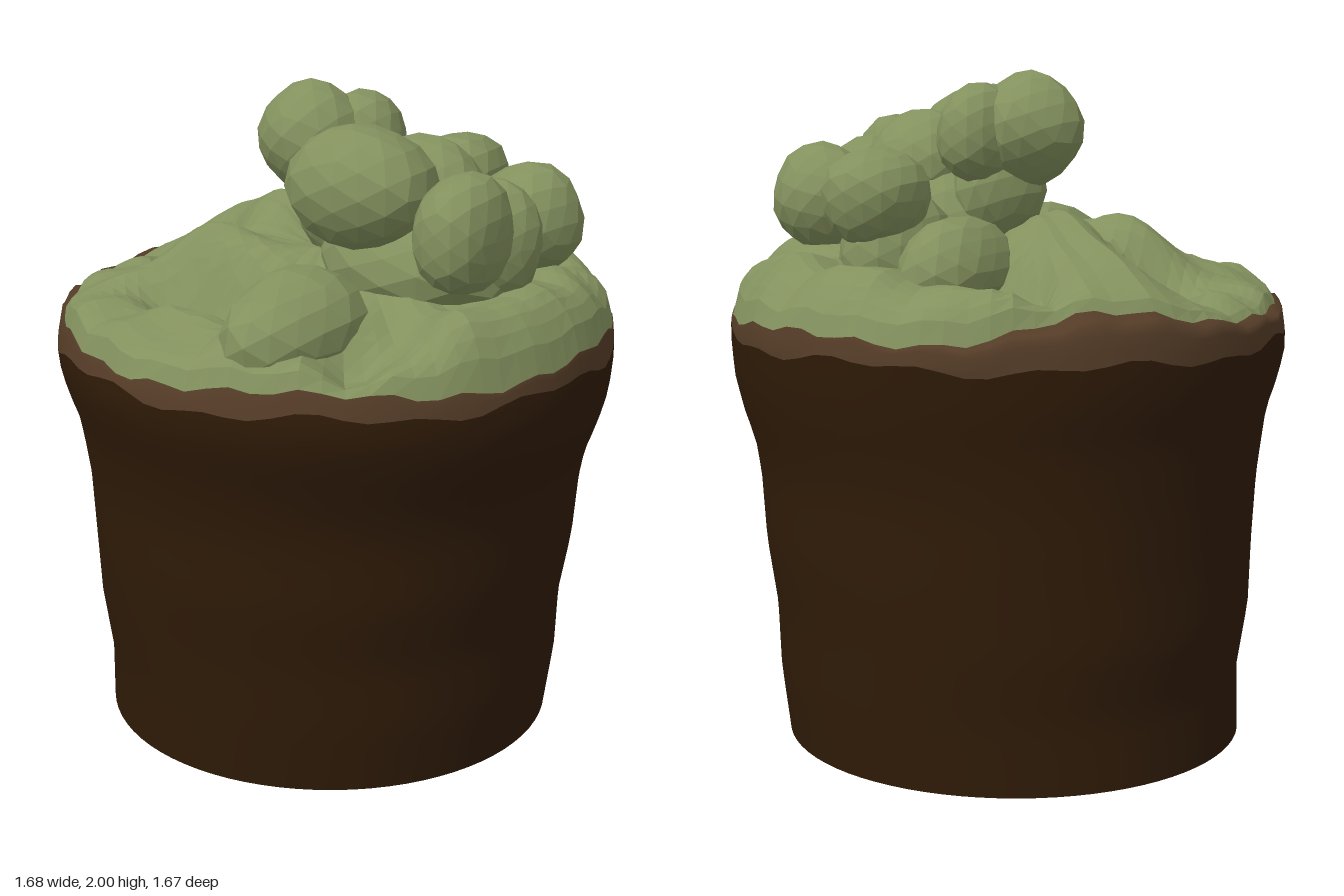
import * as THREE from 'three';

const material = (name, color) => {
  const m = new THREE.MeshStandardMaterial({ color });
  m.name = name;
  return m;
};

// Closed rings stacked into a surface; point(i, angle) returns [x, y, z]
const SEGMENTS = 80;
function loft(rows, point, flat) {
  const pos = [], index = [];
  for (let i = 0; i < rows; i++)
    for (let j = 0; j < SEGMENTS; j++) pos.push(...point(i, (j / SEGMENTS) * Math.PI * 2));
  for (let i = 0; i < rows - 1; i++)
    for (let j = 0; j < SEGMENTS; j++) {
      const k = (j + 1) % SEGMENTS;
      const a = i * SEGMENTS + j, b = a + SEGMENTS, c = i * SEGMENTS + k, d = c + SEGMENTS;
      index.push(a, b, c, c, b, d);
    }
  let g = new THREE.BufferGeometry();
  g.setAttribute('position', new THREE.Float32BufferAttribute(pos, 3));
  g.setIndex(index);
  if (flat) g = g.toNonIndexed();
  g.computeVertexNormals();
  return g;
}

// Pot sections: height, min x, max x, min z, max z
const SECTIONS = [
  [0, -0.75, 0.64, -0.74, 0.64], [0.2, -0.74, 0.67, -0.75, 0.66],
  [0.4, -0.77, 0.68, -0.76, 0.68], [0.6, -0.77, 0.72, -0.77, 0.71],
  [0.8, -0.78, 0.74, -0.77, 0.72], [0.9, -0.79, 0.76, -0.78, 0.74],
  [1.0, -0.8, 0.8, -0.8, 0.77], [1.1, -0.83, 0.83, -0.82, 0.81],
  [1.19, -0.845, 0.84, -0.83, 0.835], [1.24, -0.845, 0.837, -0.835, 0.828],
  [1.32, -0.838, 0.828, -0.82, 0.8], [1.42, -0.81, 0.82, -0.78, 0.78],
];
function potPoint(y, a, s = 1) {
  let i = 0;
  while (i < SECTIONS.length - 2 && SECTIONS[i + 1][0] < y) i++;
  const p = SECTIONS[i], q = SECTIONS[i + 1];
  const t = (y - p[0]) / (q[0] - p[0]);
  const [x0, x1, z0, z1] = [1, 2, 3, 4].map((k) => p[k] + (q[k] - p[k]) * t);
  return [
    (x0 + x1) / 2 + (Math.cos(a) * s * (x1 - x0)) / 2, y,
    (z0 + z1) / 2 + (Math.sin(a) * s * (z1 - z0)) / 2,
  ];
}

// Uneven rim: raised and bare on the right and towards the back right
const bump = (a, centre, width) => Math.exp(-(((a - centre) / width) ** 2));
const bare = (a) => bump(a, 3.88, 0.42) + 0.45 * bump(a, 3.05, 0.45);
const rimLow = (a) => 1.232 + 0.012 * Math.sin(7 * a) + 0.01 * Math.sin(17 * a + 1);
const rimHigh = (a) => 1.29 + 0.06 * bare(a) + 0.014 * Math.sin(5 * a + 2) + 0.01 * Math.sin(23 * a);
const mossEdge = (a) => potPoint(rimHigh(a) + 0.01 * bare(a), a, 0.997 - 0.1 * bare(a));

// Mounds and hollows of the moss: x, z, radius x, radius z, height
const RELIEF = [
  [-0.28, -0.15, 0.24, 0.17, 0.15], [-0.53, -0.02, 0.12, 0.13, -0.17],
  [-0.22, 0.18, 0.28, 0.13, 0.13], [-0.2, 0.4, 0.26, 0.09, -0.15],
  [-0.32, -0.46, 0.2, 0.09, -0.14], [0, -0.66, 0.3, 0.12, 0.06],
  [0.45, -0.52, 0.2, 0.14, 0.07], [0.42, 0.58, 0.1, 0.12, -0.13],
  [-0.82, 0.1, 0.24, 0.45, -0.08], [0.72, 0.0, 0.13, 0.35, 0.06],
  [0.35, 0, 0.3, 0.3, 0.1], [0.66, 0.36, 0.14, 0.14, 0.07],
];
function mossPoint(i, a) {
  const t = 1 - (i / 20) ** 1.25;
  const e = mossEdge(a);
  const x = e[0] * t, z = e[2] * t;
  let lift = 0.12;
  for (const [cx, cz, rx, rz, h] of RELIEF)
    lift += h * Math.exp(-(((x - cx) / rx) ** 2) - ((z - cz) / rz) ** 2);
  lift += 0.014 * Math.sin(17 * x + 9 * z) + 0.012 * Math.sin(23 * z - 11 * x);
  return [x, 1.31 + (e[1] - 1.31) * t + lift * Math.sqrt(1 - t ** 9), z];
}

// Faceted, slightly lumpy ellipsoid
function lump(rx, ry, rz, seed) {
  const g = new THREE.IcosahedronGeometry(1, 2);
  const p = g.attributes.position;
  const v = new THREE.Vector3();
  for (let i = 0; i < p.count; i++) {
    v.fromBufferAttribute(p, i);
    const n = Math.sin(3.1 * v.x + seed) + Math.sin(3.7 * v.y + 2 * seed) + Math.sin(4.3 * v.z + 3 * seed);
    v.multiplyScalar(1 + 0.04 * n);
    p.setXYZ(i, v.x * rx, v.y * ry, v.z * rz);
  }
  g.computeVertexNormals();
  return g;
}

// Plant lumps: name, centre, radii, tilt about z
const LUMPS = [
  ['topLeaf', -0.06, 1.82, 0.04, 0.16, 0.175, 0.16, 0.2],
  ['topBackLeaf', 0.07, 1.81, -0.06, 0.13, 0.145, 0.14, 0],
  ['frontLeaf', 0.26, 1.77, 0.29, 0.21, 0.19, 0.18, 0],
  ['leftFrontLeaf', 0.56, 1.67, 0.28, 0.13, 0.17, 0.17, 0],
  ['leftBackLeaf', 0.54, 1.61, -0.17, 0.17, 0.17, 0.16, -0.3],
  ['leftLeaf', 0.56, 1.6, 0.06, 0.14, 0.17, 0.14, 0],
  ['innerLeaf', 0.32, 1.71, 0.02, 0.17, 0.17, 0.16, 0],
  ['backLeaf', 0.2, 1.64, -0.4, 0.15, 0.15, 0.17, 0],
  ['backRightLeaf', -0.08, 1.46, -0.4, 0.15, 0.14, 0.22, 0],
  ['lowFrontLeaf', 0.16, 1.37, 0.49, 0.18, 0.19, 0.27, 0],
  ['plantCore', 0.32, 1.53, 0.04, 0.31, 0.2, 0.28, 0],
  ['stem', 0.06, 1.62, 0.04, 0.14, 0.2, 0.15, 0.4],
  ['backStem', 0.2, 1.48, -0.3, 0.17, 0.16, 0.2, 0],
];

export function createModel() {
  const group = new THREE.Group();
  const brown = material('dark brown', 0x2f1b07);
  const rimBrown = material('light brown', 0x543c27);
  const green = material('moss green', 0x83915e);
  const grey = material('grey', 0xcccccc);
  const add = (name, geometry, mat) => {
    const mesh = new THREE.Mesh(geometry, mat);
    mesh.name = name;
    group.add(mesh);
    return mesh;
  };

  // Pot wall, smooth, ending at the ragged rim line
  add('pot', loft(25, (i, a) => potPoint((rimLow(a) * i) / 24, a)), brown);

  // Lighter rim band, folding in to meet the moss
  add('rim', loft(5, (i, a) => {
    if (i === 4) return mossEdge(a);
    return potPoint(rimLow(a) + ((rimHigh(a) - rimLow(a)) * i) / 3, a);
  }), rimBrown);

  // Flat underside
  const base = add('potBase', new THREE.CircleGeometry(1, SEGMENTS), grey);
  base.rotation.x = Math.PI / 2;
  base.scale.set(0.695, 0.69, 1);
  base.position.set(-0.055, 0, -0.05);

  // Moss bed and the cluster of leaves on it
  add('moss', loft(21, mossPoint, true), green);
  LUMPS.forEach(([name, x, y, z, rx, ry, rz, tilt], i) => {
    const leaf = add(name, lump(rx, ry, rz, i * 1.7 + 0.4), green);
    leaf.position.set(x, y, z);
    leaf.rotation.z = tilt;
  });
  return group;
}
